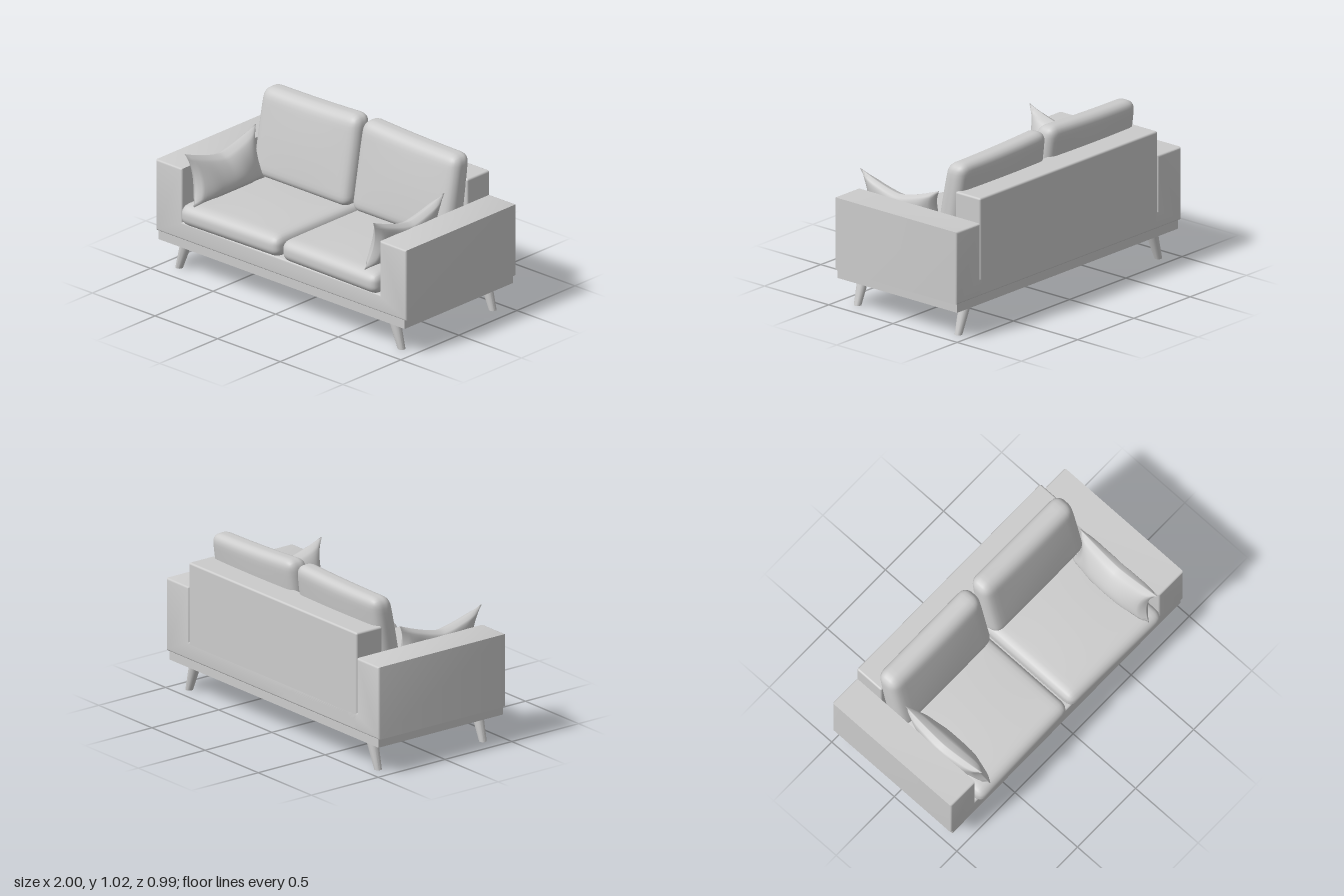
import * as THREE from 'three';
import { mergeVertices, toCreasedNormals } from 'three/addons/utils/BufferGeometryUtils.js';
import { RoundedBoxGeometry } from 'three/addons/geometries/RoundedBoxGeometry.js';

const material = new THREE.MeshStandardMaterial({ color: 0xcccccc });

function add(parent, name, geometry, x = 0, y = 0, z = 0) {
  const mesh = new THREE.Mesh(geometry, material);
  mesh.name = name;
  mesh.position.set(x, y, z);
  parent.add(mesh);
  return mesh;
}

// Move every vertex by a rule, then weld and smooth
function reshape(geometry, rule) {
  geometry.deleteAttribute('uv');
  geometry.deleteAttribute('normal');
  const p = geometry.attributes.position;
  const v = new THREE.Vector3();
  for (let i = 0; i < p.count; i++) {
    v.fromBufferAttribute(p, i);
    rule(v);
    p.setXYZ(i, v.x, v.y, v.z);
  }
  const welded = mergeVertices(geometry, 1e-5);
  welded.computeVertexNormals();
  return welded;
}

// Subdivided box with rounded edges, then a soft deformation in (u, v, w) of -1..1
function cushion(w, h, d, r, deform) {
  const half = new THREE.Vector3(w / 2, h / 2, d / 2);
  const core = half.clone().subScalar(r);
  const inner = new THREE.Vector3();
  // Crowd the grid lines toward the edges so the rounding stays smooth
  const spread = (t) => Math.sin(t * Math.PI / 2);
  return reshape(new THREE.BoxGeometry(2, 2, 2, 22, 22, 22), (v) => {
    v.set(spread(v.x), spread(v.y), spread(v.z)).multiply(half);
    inner.copy(v).clamp(core.clone().negate(), core);
    v.sub(inner).setLength(r).add(inner);
    deform(v, v.x / half.x, v.y / half.y, v.z / half.z);
  });
}

// U-shaped body: both arms and the front rail in one extrusion
function bodyGeometry() {
  const s = new THREE.Shape();
  const outline = [[-1, 0.23], [1, 0.23], [1, 0.68], [0.79, 0.68],
    [0.79, 0.34], [-0.79, 0.34], [-0.79, 0.68], [-1, 0.68]];
  s.setFromPoints(outline.map(([x, y]) => new THREE.Vector2(x, y)));
  const b = 0.012;
  const g = new THREE.ExtrudeGeometry(s, {
    depth: 0.95 - 2 * b, bevelSize: b, bevelThickness: b, bevelOffset: -b, bevelSegments: 3,
  });
  g.translate(0, 0, -0.495 + b);
  return toCreasedNormals(g, 0.7);
}

// Seat cushion: crowned top, front bowed toward the outer end
function seatGeometry(side) {
  return cushion(0.775, 0.14, 0.78, 0.055, (v, u, t, w) => {
    const crown = (1 - u * u) * (1 - w * w);
    if (t > 0) v.y += 0.012 * crown;
    if (w > 0) v.z += w * (0.008 * u * side + 0.012 * (1 - t * t));
  });
}

// Back cushion: leaning, padded in the middle and thinner at the top
function backGeometry(side) {
  return cushion(0.776, 0.54, 0.155, 0.062, (v, u, t, w) => {
    v.z *= 1 + 0.12 * (1 - u * u) * (1 - t * t) - 0.08 * t;
    v.x *= 1 - 0.02 * Math.max(t, 0) ** 3;
    v.z -= 0.045 * t;
    if (t > 0) {
      v.y += t * (0.006 * u * u - 0.009 * u * side);
      if (side > 0) v.y -= 0.008 * t * (u + 1) / 2;
    }
  });
}

// Throw pillow: thin pinched edges, pointed corners, sagging top edge
function pillowGeometry() {
  return reshape(new THREE.BoxGeometry(2, 2, 2, 1, 16, 28), (v) => {
    const { x, y: t, z: w } = v;
    const puff = Math.pow(Math.max(0, (1 - t * t) * (1 - w * w)), 0.42);
    const sag = 1 - Math.pow(Math.abs(w), 1.4);
    const top = 0.162 - 0.088 * sag;
    const bottom = -0.155 + 0.012 * sag;
    v.y = bottom + (top - bottom) * (t + 1) / 2;
    v.z = w * (0.305 - 0.045 * (1 - t * t));
    // Fuller toward the bottom, with a few soft creases near the corners
    const crease = 1 + 0.1 * Math.sin(w * 9 + t * 2) * w * w;
    v.x = x * (0.003 + 0.075 * puff * (1 - 0.15 * t) * crease) + 0.035 * t;
  });
}

// Tapered leg splayed outward, with a level foot
function legGeometry(side) {
  return toCreasedNormals(new THREE.CylinderGeometry(0.037, 0.023, 0.18, 16).applyMatrix4(
    new THREE.Matrix4().set(1, -0.33 * side, 0, 0, 0, 1, 0, 0, 0, 0, 1, 0, 0, 0, 0, 1)), 0.7);
}

export function createModel() {
  const sofa = new THREE.Group();
  sofa.name = 'sofa';

  // Frame
  add(sofa, 'plinth', new THREE.BoxGeometry(1.965, 0.06, 0.932), 0, 0.205, -0.018);
  add(sofa, 'armsAndRail', bodyGeometry());
  add(sofa, 'backrest', new RoundedBoxGeometry(1.58, 0.605, 0.195, 3, 0.012), 0, 0.5325, -0.3975);

  for (const side of [-1, 1]) {
    const label = side > 0 ? 'left' : 'right';

    // Cushions
    add(sofa, label + 'SeatCushion', seatGeometry(side), side * 0.398, 0.4, 0.085);
    add(sofa, label + 'BackCushion', backGeometry(side), side * 0.397, 0.735, -0.24);

    // Pillow leaning on the arm
    const pillow = add(sofa, label + 'Pillow', pillowGeometry(), side * 0.717, 0.628, 0.165);
    if (side < 0) pillow.rotation.y = Math.PI;

    // Legs
    add(sofa, label + 'FrontLeg', legGeometry(side), side * 0.858, 0.09, 0.373);
    add(sofa, label + 'BackLeg', legGeometry(side), side * 0.858, 0.09, -0.412);
  }
  return sofa;
}
